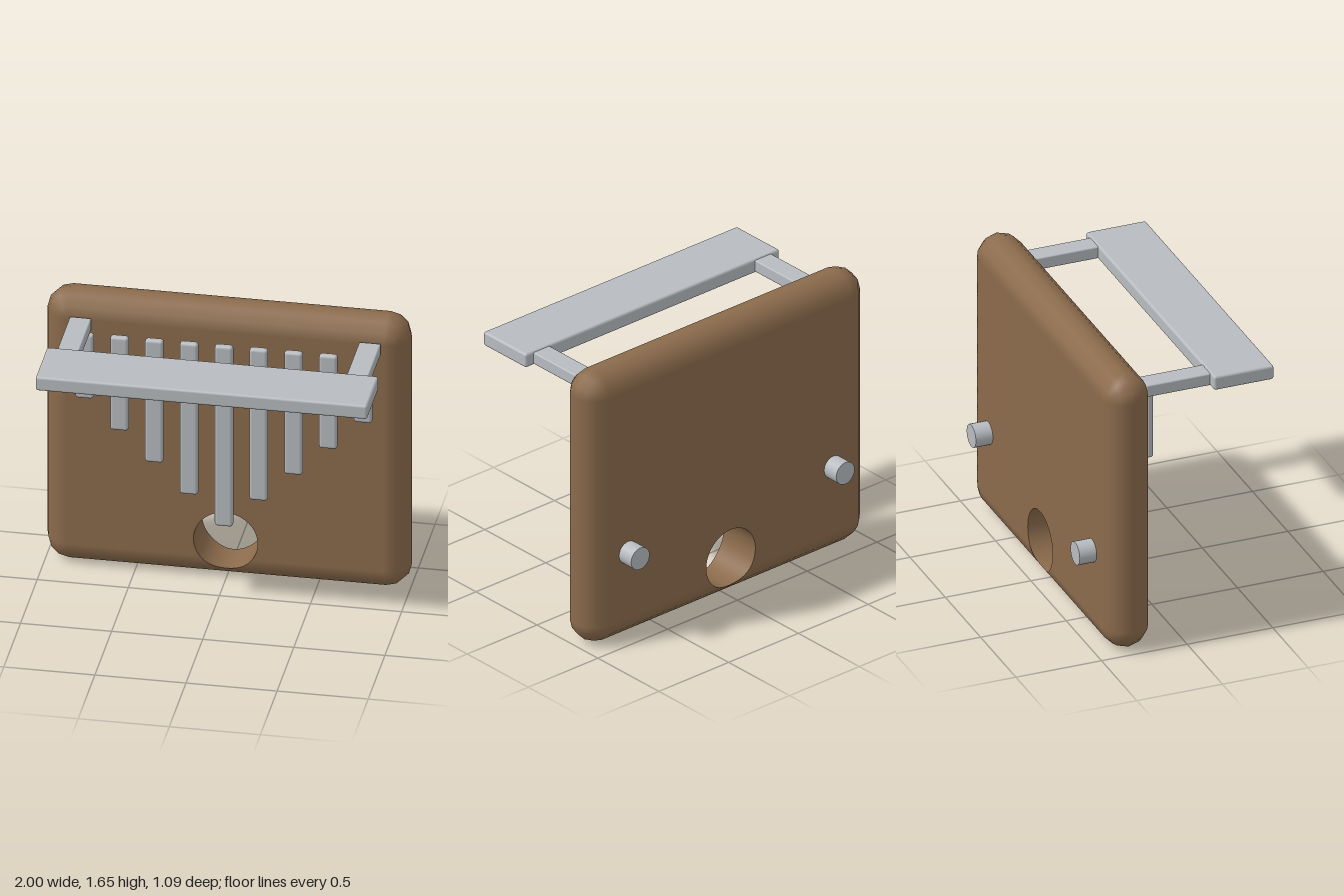
import * as THREE from 'three';
import { RoundedBoxGeometry } from 'three/addons/geometries/RoundedBoxGeometry.js';

const W = 1, H = 1.65, R = 0.131, BOARD_Z = -0.315;   // board half width, height, edge radius, mid depth
const HOLE_Y = 0.235, HOLE_R = 0.176;
const SEGS = 3;                                       // facets per quarter round

// Walk round the inner rectangle; each step has a point and an outward direction
function boardOutline() {
  const x = W - R, corners = [[x, R], [x, H - R], [-x, H - R], [-x, R]];
  const steps = [];
  for (let e = 0; e < 4; e++) {
    const [x0, y0] = corners[e], [x1, y1] = corners[(e + 1) % 4];
    const turn = e * Math.PI / 2, nx = Math.cos(turn), ny = Math.sin(turn);
    const a0 = Math.atan2(y0 - HOLE_Y, x0);
    let a1 = Math.atan2(y1 - HOLE_Y, x1);
    if (a1 < a0) a1 += Math.PI * 2;
    const n = Math.ceil((a1 - a0) / 0.1);
    for (let j = 0; j <= n; j++) {
      const a = a0 + (a1 - a0) * j / n, dx = Math.cos(a), dy = Math.sin(a);
      const t = (x0 * nx + (y0 - HOLE_Y) * ny) / (dx * nx + dy * ny);
      steps.push({ x: dx * t, y: HOLE_Y + dy * t, nx, ny });
    }
    for (let j = 1; j < SEGS; j++) {
      const a = turn + j / SEGS * Math.PI / 2;
      steps.push({ x: x1, y: y1, nx: Math.cos(a), ny: Math.sin(a) });
    }
  }
  return steps;
}

// Rim of the hole next to an outline step; at the bottom it cuts into the rounded edge
function holeRim(s, side) {
  const dx = s.x, dy = s.y - HOLE_Y, d = Math.hypot(dx, dy);
  if (d >= HOLE_R) {
    return { p: [dx / d * HOLE_R, HOLE_Y + dy / d * HOLE_R, side * R], n: [0, 0, side] };
  }
  const y = HOLE_Y - Math.sqrt(HOLE_R ** 2 - dx ** 2);
  const z = side * Math.sqrt(R ** 2 - (R - y) ** 2);
  return { p: [dx, y, z], n: [0, (y - R) / R, z / R] };
}

// Point on the rounded edge, phi running from front (+90 degrees) to back
function edgePoint(s, phi) {
  const c = Math.cos(phi), k = Math.sin(phi);
  const x = s.x + s.nx * R * c, y = s.y + s.ny * R * c;
  if (Math.hypot(x, y - HOLE_Y) < HOLE_R) return holeRim(s, Math.sign(k));
  return { p: [x, y, R * k], n: [s.nx * c, s.ny * c, k] };
}

// Skin a list of closed rings
function skin(rings) {
  const pos = [], nor = [], index = [], n = rings[0].length;
  rings.forEach(ring => ring.forEach(v => { pos.push(...v.p); nor.push(...v.n); }));
  for (let k = 0; k < rings.length - 1; k++) {
    for (let i = 0; i < n; i++) {
      const j = (i + 1) % n, a = k * n + i, b = a + n, c = k * n + n + j, d = k * n + j;
      index.push(a, b, c, a, c, d);
    }
  }
  const g = new THREE.BufferGeometry();
  g.setAttribute('position', new THREE.Float32BufferAttribute(pos, 3));
  g.setAttribute('normal', new THREE.Float32BufferAttribute(nor, 3));
  g.setIndex(index);
  return g;
}

export function createModel() {
  const wood = new THREE.MeshStandardMaterial({ color: 0x8b6b4c });
  wood.name = 'wood';
  const metal = new THREE.MeshStandardMaterial({ color: 0xb8bcc0 });
  metal.name = 'metal';

  const model = new THREE.Group();
  const add = (name, geometry, material, x, y, z) => {
    const mesh = new THREE.Mesh(geometry, material);
    mesh.name = name;
    mesh.position.set(x, y, z);
    model.add(mesh);
    return mesh;
  };

  // Wooden board with rounded edges and a round hole
  const steps = boardOutline();
  const rings = [steps.map(s => holeRim(s, 1))];
  for (let i = SEGS; i >= -SEGS; i--) {
    rings.push(steps.map(s => edgePoint(s, i / SEGS * Math.PI / 2)));
  }
  rings.push(steps.map(s => holeRim(s, -1)));
  add('board', skin(rings), wood, 0, 0, BOARD_Z);

  const wall = [-1, 1].map(side => steps.map(s => {
    const { p } = holeRim(s, side);
    return { p, n: [-p[0] / HOLE_R, (HOLE_Y - p[1]) / HOLE_R, 0] };
  }));
  add('holeWall', skin(wall), wood, 0, 0, BOARD_Z);

  // Nine tines, longest in the middle
  for (let i = -4; i <= 4; i++) {
    const length = 1.107 - 0.178 * Math.abs(i);
    add('tine', new RoundedBoxGeometry(0.1, length, 0.044, 2, 0.017), metal, i * 0.191, 1.467 - length / 2, -0.138);
  }

  // Shelf bar held out in front by two arms
  add('bar', new RoundedBoxGeometry(1.82, 0.084, 0.35, 2, 0.014), metal, 0, 1.505, 0.37);
  for (const side of [-1, 1]) {
    add('arm', new RoundedBoxGeometry(0.118, 0.071, 0.4, 2, 0.008), metal, side * 0.794, 1.504, 0.023);

    // Round feet on the back
    const foot = add('backFoot', new THREE.CylinderGeometry(0.066, 0.066, 0.11, 24), metal, side * 0.735, 0.535, -0.49);
    foot.rotation.x = Math.PI / 2;
  }
  return model;
}
